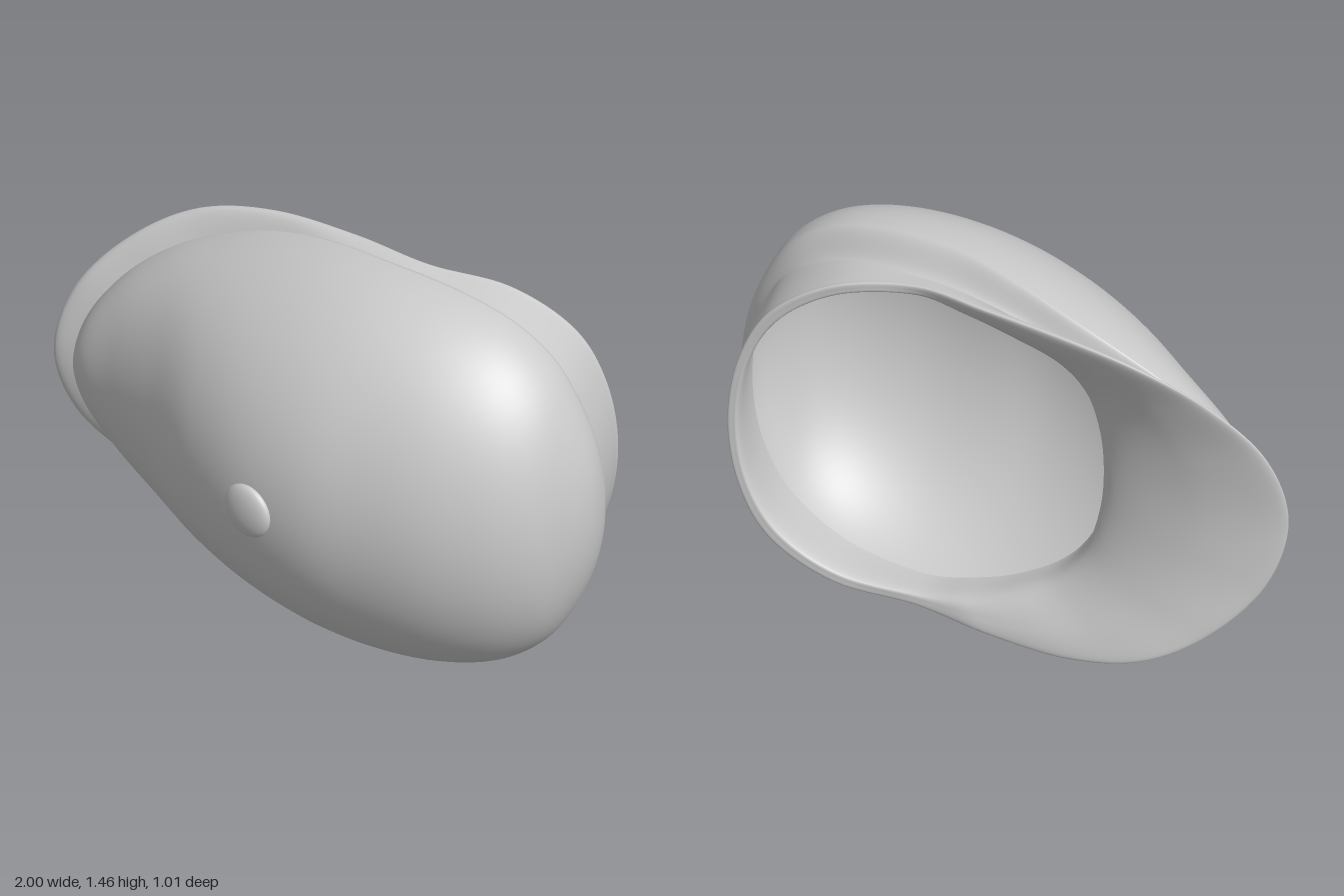
import * as THREE from 'three';
import { mergeVertices } from 'three/addons/utils/BufferGeometryUtils.js';

const MID = 0.73; // height of the mirror plane
const grey = new THREE.MeshStandardMaterial({ color: 0xcccccc, side: THREE.DoubleSide });

// Smooth interpolation through rows of numbers; ends continue into their mirror image
function spline(rows, t, mirror) {
  const n = rows.length - 1;
  const i = Math.min(Math.floor(t * n), n - 1);
  const f = t * n - i;
  const at = (k) => (k < 0 ? mirror(rows[-k]) : k > n ? mirror(rows[2 * n - k]) : rows[k]);
  const [a, b, c, d] = [at(i - 1), at(i), at(i + 1), at(i + 2)];
  return b.map((_, k) => 0.5 * (2 * b[k] + (c[k] - a[k]) * f
    + (2 * a[k] - 5 * b[k] + 4 * c[k] - d[k]) * f * f
    + (3 * b[k] - a[k] - 3 * c[k] + d[k]) * f * f * f));
}

// Smooth surface through a grid of [x, sideways, z] points
function gridMesh(name, grid) {
  const cols = grid[0].length;
  const index = [];
  for (let i = 0; i < grid.length - 1; i++) {
    for (let j = 0; j < cols - 1; j++) {
      const a = i * cols + j, b = a + cols;
      index.push(a, b, a + 1, b, b + 1, a + 1);
    }
  }
  const geo = new THREE.BufferGeometry();
  const pos = grid.flat().flatMap(([x, v, z]) => [x, v + MID, z]);
  geo.setAttribute('position', new THREE.Float32BufferAttribute(pos, 3));
  geo.setIndex(index);
  const merged = mergeVertices(geo, 1e-4);
  merged.computeVertexNormals();
  const mesh = new THREE.Mesh(merged, grey);
  mesh.name = name;
  return mesh;
}

// Crown stations: x, half width, top z, waist z, rim z
const CROWN = [
  [-0.92, 0, -0.35, -0.35, -0.385], [-0.88, 0.17, -0.29, -0.38, -0.405],
  [-0.76, 0.34, -0.19, -0.405, -0.425], [-0.6, 0.475, -0.035, -0.41, -0.435],
  [-0.42, 0.575, 0.165, -0.385, -0.425], [-0.22, 0.655, 0.325, -0.33, -0.385],
  [0, 0.71, 0.43, -0.23, -0.315], [0.22, 0.73, 0.478, -0.12, -0.235],
  [0.45, 0.717, 0.5, -0.04, -0.155], [0.65, 0.665, 0.475, 0.015, -0.085],
  [0.8, 0.565, 0.41, 0.05, -0.05], [0.9, 0.42, 0.31, 0.075, -0.035],
  [0.975, 0.22, 0.2, 0.09, -0.03], [1, 0, 0.095, 0.095, -0.03],
];

// Domed cross-sections whose lower edges sweep inward and flow into the band
function crown() {
  const mirror = ([x, w, top, waist, rim]) => [x, -w, waist, top, rim];
  const grid = [];
  for (let i = 0; i <= 104; i++) {
    const [x, w, top, waist, rim] = spline(CROWN, i / 104, mirror);
    const sweep = (side, s) => {
      const k = (1 - Math.cos(Math.PI * s)) / 2;
      return [0.2 + (x - 0.2) * (1 - 0.043 * k), side * w * (1 - 0.125 * k),
        waist - (waist - rim) * s];
    };
    const row = [];
    for (let j = 12; j > 0; j--) row.push(sweep(1, j / 12));
    for (let j = 0; j <= 48; j++) {
      const a = (j / 48) * Math.PI;
      row.push([x, w * Math.cos(a), waist + (top - waist) * Math.sin(a)]);
    }
    for (let j = 1; j <= 12; j++) row.push(sweep(-1, j / 12));
    grid.push(row);
  }
  return gridMesh('crown', grid);
}

// Half outlines from the front of the brim to the back of the band
const EDGE = [
  [-1, 0, -0.42], [-0.93, 0.25, -0.443], [-0.75, 0.45, -0.484], [-0.52, 0.585, -0.503],
  [-0.25, 0.645, -0.46], [0.05, 0.655, -0.365], [0.32, 0.645, -0.264], [0.6, 0.6, -0.26],
  [0.82, 0.46, -0.26], [0.93, 0.255, -0.26], [0.968, 0, -0.26],
];
const HOLE = [
  [-0.34, 0, -0.29], [-0.325, 0.17, -0.29], [-0.275, 0.33, -0.295], [-0.17, 0.45, -0.3],
  [-0.01, 0.53, -0.3], [0.15, 0.58, -0.285], [0.33, 0.607, -0.257], [0.59, 0.565, -0.257],
  [0.79, 0.435, -0.257], [0.9, 0.245, -0.257], [0.937, 0, -0.257],
];
const SEAM = [
  [-0.82, 0, -0.385], [-0.78, 0.18, -0.39], [-0.65, 0.34, -0.41], [-0.45, 0.46, -0.415],
  [-0.2, 0.56, -0.375], [0.06, 0.625, -0.28], [0.32, 0.635, -0.18], [0.6, 0.593, -0.07],
  [0.82, 0.455, -0.01], [0.925, 0.25, 0.01], [0.96, 0, 0.015],
];
const LINING = [
  [-0.33, 0, -0.16], [-0.315, 0.17, -0.16], [-0.265, 0.33, -0.16], [-0.165, 0.45, -0.16],
  [-0.01, 0.535, -0.16], [0.15, 0.59, -0.14], [0.33, 0.62, -0.11], [0.6, 0.582, -0.04],
  [0.81, 0.445, 0.01], [0.915, 0.245, 0.02], [0.95, 0, 0.025],
];

// One skin: inner wall, rolled hole edge, brim underside, outer edge, top side
function bandAndBrim() {
  const mirror = ([x, v, z]) => [x, -v, z];
  const half = [];
  for (let i = 0; i <= 80; i++) {
    const [lining, hole, edge, seam] = [LINING, HOLE, EDGE, SEAM]
      .map((rows) => new THREE.Vector3(...spline(rows, i / 80, mirror)));
    const under = hole.clone().lerp(edge, 0.5);
    under.z -= 0.095 * hole.distanceTo(edge);
    const lip = edge.clone().lerp(seam, 0.05);
    lip.z += 0.014;
    const profile = new THREE.CatmullRomCurve3([lining, hole, under, edge, lip, seam]);
    half.push(profile.getPoints(50).map((p) => p.toArray()));
  }
  const other = half.slice(0, -1).reverse().map((row) => row.map(mirror));
  return gridMesh('bandAndBrim', [...half, ...other]);
}

// Flattened cap button lying on the slope of the crown
function button() {
  const dome = new THREE.SphereGeometry(1, 32, 16, 0, Math.PI * 2, 0, Math.PI * 0.56);
  dome.rotateX(Math.PI / 2);
  const mesh = new THREE.Mesh(dome, grey);
  mesh.name = 'button';
  mesh.scale.set(0.098, 0.1, 0.034);
  mesh.rotation.y = -0.5;
  mesh.position.set(-0.167, MID - 0.005, 0.362);
  return mesh;
}

export function createModel() {
  const cap = new THREE.Group();
  cap.name = 'flatCap';
  cap.add(crown(), bandAndBrim(), button());
  return cap;
}
